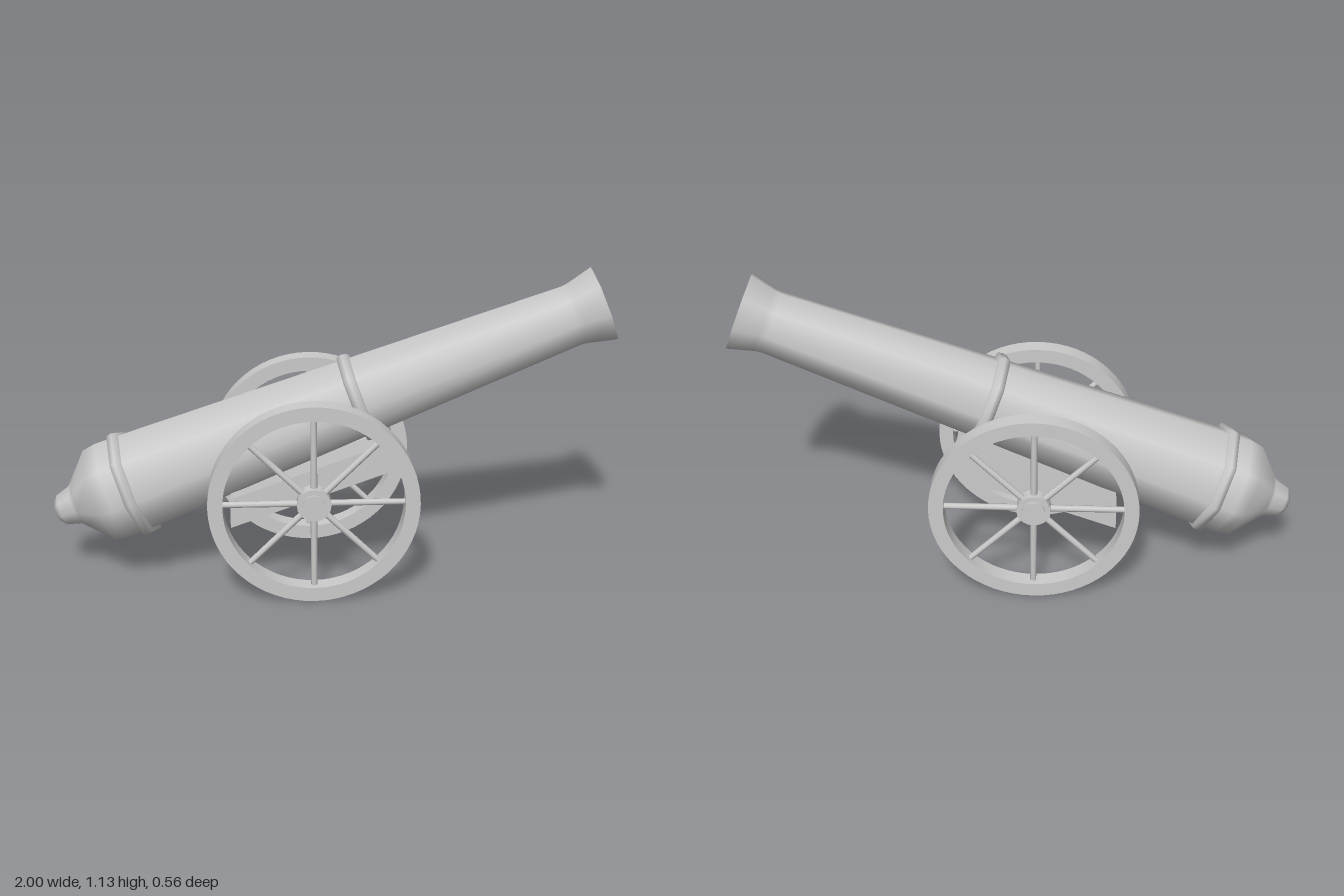
import * as THREE from 'three';
import { toCreasedNormals } from 'three/addons/utils/BufferGeometryUtils.js';

const material = new THREE.MeshStandardMaterial({ color: 0xcccccc });

function addMesh(parent, name, geometry) {
  const mesh = new THREE.Mesh(geometry, material);
  mesh.name = name;
  parent.add(mesh);
  return mesh;
}

// Eight-sided turned part; profile is [radius, distance along the barrel]
function turned(profile) {
  return new THREE.LatheGeometry(profile.map(([r, s]) => new THREE.Vector2(r, s)), 8);
}

function createBarrel() {
  const barrel = new THREE.Group();
  barrel.name = 'barrel';
  addMesh(barrel, 'breechAndTube', turned([
    [0, -0.195], [0.035, -0.19], [0.06, -0.168], [0.076, -0.115], [0.09, -0.1],
    [0.183, -0.008], [0.191, 0.04], [0.188, 0.15], [0.115, 1.775], [0.119, 1.8], [0.143, 1.89],
  ]));
  addMesh(barrel, 'muzzleRim', turned([[0.143, 1.89], [0.107, 1.89]]));
  addMesh(barrel, 'bore', turned([[0.107, 1.89], [0.085, 1.8], [0.08, 1.25], [0, 1.2]]));

  // Raised reinforcing bands
  for (const [name, s, r] of [['rearBand', 0.11, 0.206], ['middleBand', 0.975, 0.172]]) {
    addMesh(barrel, name, turned([
      [r - 0.035, s - 0.026], [r - 0.004, s - 0.018], [r, s], [r - 0.004, s + 0.018], [r - 0.035, s + 0.026],
    ]));
  }
  barrel.position.set(-0.815, 0.31, 0);
  barrel.rotation.z = 0.372 - Math.PI / 2;
  return barrel;
}

// Sloping V-section cradle, with upright ends
function createCradle(parent) {
  const w = 0.215, length = 0.565;
  const section = new THREE.Shape([
    [-w, 0.045], [0, 0], [w, 0.045], [w, 0.155], [0, 0.11], [-w, 0.155],
  ].map(([x, y]) => new THREE.Vector2(x, y)));
  const geometry = new THREE.ExtrudeGeometry(section, { depth: length, bevelEnabled: false });
  geometry.rotateY(Math.PI / 2);
  const p = geometry.attributes.position;
  for (let i = 0; i < p.count; i++) p.setY(i, p.getY(i) + p.getX(i) * 0.363);
  geometry.computeVertexNormals();
  geometry.translate(-0.365, 0.22, 0);
  addMesh(parent, 'cradle', geometry);
}

function createWheel(name) {
  const wheel = new THREE.Group();
  wheel.name = name;

  // Rim
  const ring = new THREE.Shape().absarc(0, 0, 0.368, 0, Math.PI * 2);
  ring.holes.push(new THREE.Path().absarc(0, 0, 0.316, 0, Math.PI * 2, true));
  const rim = new THREE.ExtrudeGeometry(ring, { depth: 0.06, bevelEnabled: false, curveSegments: 32 });
  rim.translate(0, 0, -0.03);
  addMesh(wheel, 'rim', toCreasedNormals(rim, 0.6));

  // Hub and its cap
  for (const [part, radius, depth] of [['hub', 0.06, 0.046], ['hubCap', 0.04, 0.06]]) {
    const hub = new THREE.CylinderGeometry(radius, radius, depth, 20);
    hub.rotateX(Math.PI / 2);
    addMesh(wheel, part, hub);
  }

  // Spokes
  for (let i = 0; i < 8; i++) {
    const spoke = new THREE.CylinderGeometry(0.011, 0.012, 0.28, 8, 1, true);
    spoke.translate(0, 0.185, 0);
    spoke.rotateZ((i * Math.PI) / 4);
    addMesh(wheel, 'spoke', spoke);
  }
  return wheel;
}

export function createModel() {
  const model = new THREE.Group();
  model.name = 'cannon';
  model.add(createBarrel());
  createCradle(model);

  // One wheel on each side of the cradle
  for (const side of [1, -1]) {
    const wheel = createWheel(side > 0 ? 'frontWheel' : 'backWheel');
    wheel.position.set(-0.075, 0.37, side * 0.248);
    if (side < 0) wheel.rotation.y = Math.PI;
    model.add(wheel);
  }
  return model;
}
